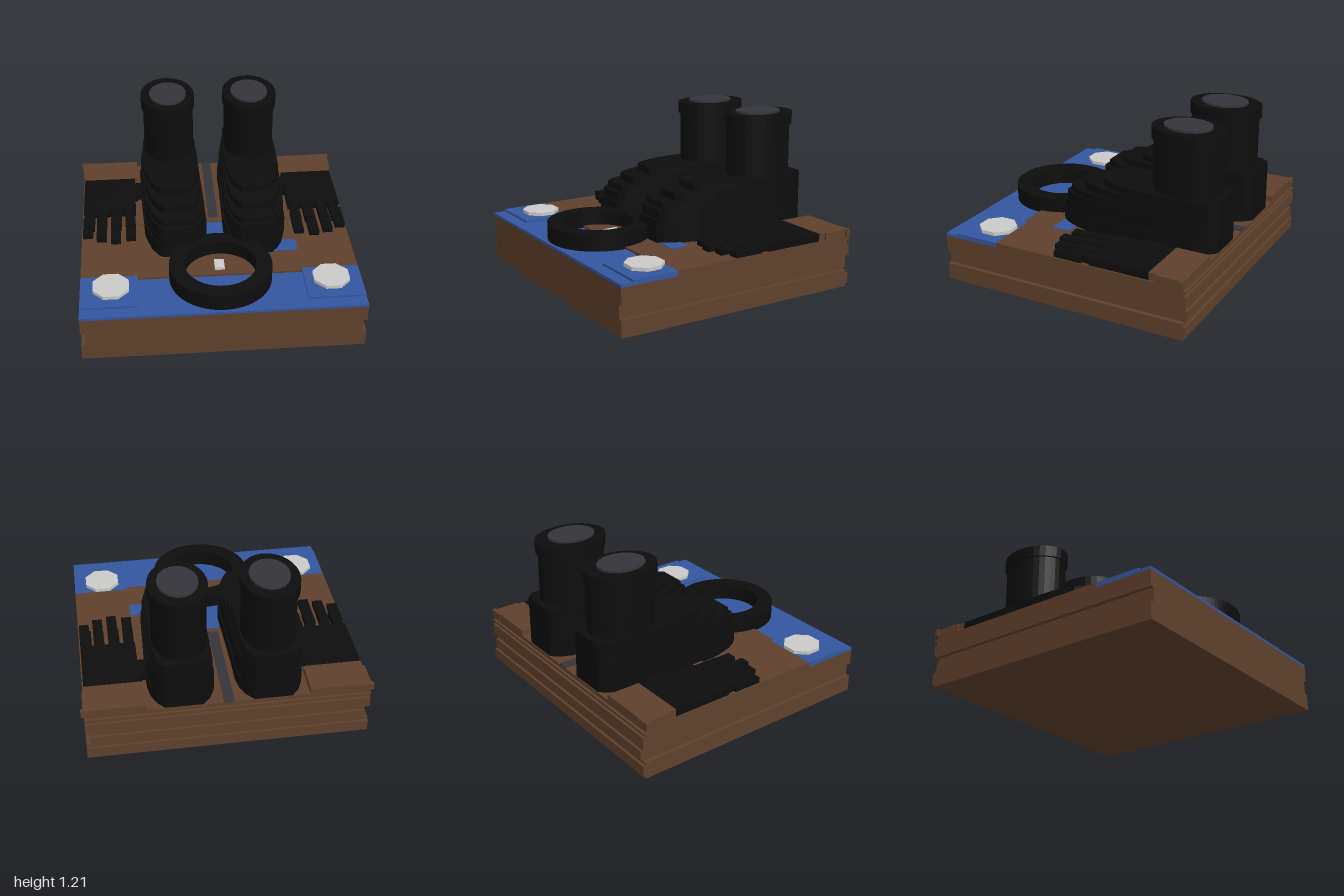
import * as THREE from 'three';

const mat = (name, color) => Object.assign(new THREE.MeshStandardMaterial({ color, flatShading: true }), { name });

export function createModel() {
  const root = new THREE.Group();
  root.name = 'bootsDisplay';
  const brown = mat('brown', 0x5f402b);
  const blue = mat('blue', 0x3456a0);
  const black = mat('black', 0x0d0d0d);
  const white = mat('paleGrey', 0xcacac8);
  const grey = mat('darkGrey', 0x35343b);

  const add = (parent, name, geo, material) => {
    const m = new THREE.Mesh(geo, material);
    m.name = name;
    parent.add(m);
    return m;
  };
  // Box given by its limits on each axis
  const box = (parent, name, material, x0, x1, y0, y1, z0, z1) => {
    const m = add(parent, name, new THREE.BoxGeometry(x1 - x0, y1 - y0, z1 - z0), material);
    m.position.set((x0 + x1) / 2, (y0 + y1) / 2, (z0 + z1) / 2);
    return m;
  };
  // Upright prism from a plan outline of [x, z] points
  const prism = (pts, y0, y1) => {
    const shape = new THREE.Shape(pts.map(([x, z]) => new THREE.Vector2(x, -z)));
    const g = new THREE.ExtrudeGeometry(shape, { depth: y1 - y0, bevelEnabled: false });
    return g.rotateX(-Math.PI / 2).translate(0, y0, 0);
  };
  // Upright oval cylinder
  const oval = (parent, name, material, x, z, rx, rz, y0, y1, sides = 32) => {
    const g = new THREE.CylinderGeometry(1, 1, y1 - y0, sides);
    g.rotateY(Math.PI / sides).scale(rx, 1, rz);
    const m = add(parent, name, g, material);
    m.position.set(x, (y0 + y1) / 2, z);
  };

  // Base with a groove along each side and ribs along the back
  const base = new THREE.Group();
  base.name = 'base';
  root.add(base);
  box(base, 'baseBottom', brown, -0.98, 0.98, 0, 0.12, -0.91, 0.93);
  box(base, 'baseMiddle', brown, -0.95, 0.95, 0.12, 0.22, -0.91, 0.93);
  box(base, 'baseUpper', brown, -0.98, 0.98, 0.22, 0.335, -0.91, 0.93);
  for (const [y0, y1, w] of [[0.02, 0.1, 0.98], [0.13, 0.2, 0.95], [0.235, 0.315, 0.98], [0.34, 0.355, 0.98]])
    box(base, 'backRib', brown, -w, w, y0, y1, -0.928, -0.905);
  box(base, 'deck', brown, -0.98, 0.98, 0.335, 0.37, -0.91, 0.51);
  box(base, 'deckCentre', brown, -0.58, 0.58, 0.335, 0.37, 0.51, 0.54);
  box(base, 'frontSheet', blue, -0.98, 0.98, 0.335, 0.355, 0.54, 0.93);
  box(base, 'rearDeck', brown, -0.56, 0.56, 0.37, 0.383, -0.91, -0.09);
  box(base, 'centreStrip', grey, -0.035, 0.035, 0.37, 0.391, -0.91, -0.14);
  box(base, 'centrePatch', blue, -0.1, 0.1, 0.37, 0.375, -0.09, 0.2);
  box(base, 'sidePatch', blue, 0.34, 0.58, 0.37, 0.375, 0.17, 0.3);

  // Belt ring with its small buckle
  const ring = new THREE.Shape().absarc(0, -0.55, 0.36, 0, Math.PI * 2);
  ring.holes.push(new THREE.Path().absarc(0, -0.55, 0.25, 0, Math.PI * 2, true));
  const ringGeo = new THREE.ExtrudeGeometry(ring, { depth: 0.12, bevelEnabled: false, curveSegments: 40 });
  add(root, 'beltRing', ringGeo.rotateX(-Math.PI / 2).translate(0, 0.355, 0), black);
  box(root, 'buckle', white, -0.035, 0.035, 0.37, 0.39, 0.39, 0.49);

  for (const s of [-1, 1]) {
    const side = s > 0 ? 'left' : 'right';
    const sideBox = (parent, name, material, x0, x1, ...r) =>
      box(parent, name, material, Math.min(s * x0, s * x1), Math.max(s * x0, s * x1), ...r);

    // Front corner plate with a round disc
    sideBox(base, side + 'CornerPlate', blue, 0.58, 0.98, 0.335, 0.37, 0.51, 0.84);
    oval(root, side + 'Disc', white, s * 0.767, 0.635, 0.135, 0.135, 0.37, 0.395, 8);

    // Raised rear corner block
    sideBox(base, side + 'RearBlock', brown, 0.56, 0.97, 0.37, 0.425, -0.91, -0.66);
    sideBox(base, side + 'RearTab', brown, 0.9, 1.0, 0.375, 0.425, -0.915, -0.885);
    sideBox(base, side + 'RearEdge', brown, 0.9, 0.985, 0.37, 0.425, -0.885, -0.71);

    // Flat glove: palm, thumb and four stepped fingers
    const glove = new THREE.Group();
    glove.name = side + 'Glove';
    root.add(glove);
    sideBox(glove, 'palm', black, 0.58, 0.97, 0.37, 0.425, -0.66, -0.22);
    sideBox(glove, 'thumb', black, 0.52, 0.58, 0.37, 0.42, -0.6, -0.42);
    for (const [x, shift, end] of [[0.92, 0.015, 0.05], [0.83, 0.005, 0.1], [0.72, 0.01, 0.13], [0.625, -0.005, 0.1]]) {
      sideBox(glove, 'finger', black, x - 0.033, x + 0.033, 0.37, 0.42, -0.22, -0.04);
      sideBox(glove, 'fingertip', black, x + shift - 0.036, x + shift + 0.036, 0.37, 0.41, -0.16, end);
    }

    // Boot: stepped foot layers, oval shaft, cuff and opening
    const boot = new THREE.Group();
    boot.name = side + 'Boot';
    root.add(boot);
    const layers = [ // y0, y1, half width, toe z
      [0.37, 0.48, 0.232, 0.31], [0.48, 0.53, 0.22, 0.31], [0.53, 0.6, 0.22, 0.29],
      [0.6, 0.645, 0.215, 0.255], [0.645, 0.695, 0.205, 0.15], [0.695, 0.745, 0.2, 0],
    ];
    for (const [y0, y1, w, toe] of layers) {
      const half = [[0.13, -0.905], [0.18, -0.85], [w - 0.015, -0.77], [w, -0.68], [w, -0.5],
        [w - 0.005, toe - 0.27], [w - 0.04, toe - 0.11], [w - 0.075, toe - 0.04], [w - 0.11, toe]];
      const outline = [...half, ...half.map(([x, z]) => [-x, z]).reverse()];
      // the toe turns slightly inward
      const pts = outline.map(([x, z]) => [s * (0.305 - Math.max(0, z + 0.3) * 0.05) + x, z]);
      add(boot, 'footLayer', prism(pts, y0, y1), black);
    }
    oval(boot, 'shaft', black, s * 0.305, -0.617, 0.187, 0.247, 0.74, 1.11);
    oval(boot, 'cuff', black, s * 0.307, -0.617, 0.2, 0.263, 1.105, 1.19);
    oval(boot, 'opening', grey, s * 0.305, -0.61, 0.138, 0.172, 1.18, 1.205, 16);
  }
  return root;
}
